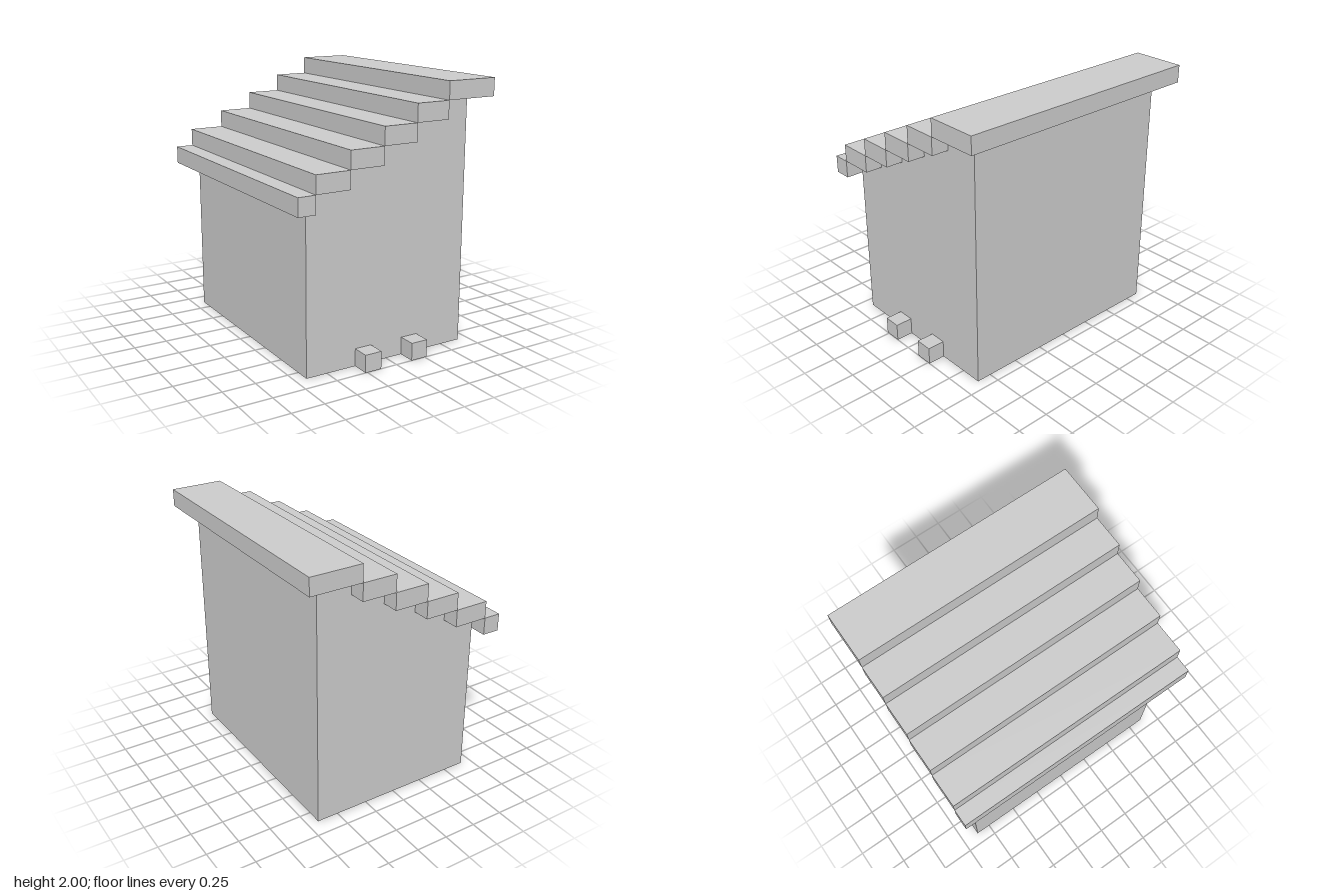
import * as THREE from 'three';

const U = 2 / 15; // one block

export function createModel() {
  const model = new THREE.Group();
  const material = new THREE.MeshStandardMaterial({ color: 0xcccccc, flatShading: true });

  const add = (name, geometry, parent = model) => {
    const mesh = new THREE.Mesh(geometry, material);
    mesh.name = name;
    parent.add(mesh);
    return mesh;
  };

  // Box given by its limits, in blocks
  const block = (name, parent, [x0, x1], [y0, y1], [z0, z1]) => {
    const box = new THREE.BoxGeometry((x1 - x0) * U, (y1 - y0) * U, (z1 - z0) * U);
    add(name, box, parent).position.set((x0 + x1) * U / 2, (y0 + y1) * U / 2, (z0 + z1) * U / 2);
  };

  // Walls: stepped profile that rises under the roof from right to left
  const profile = new THREE.Shape();
  profile.moveTo(-5 * U, 0);
  profile.lineTo(5 * U, 0);
  for (let i = 4; i >= 0; i--) {
    profile.lineTo((2 * i - 3) * U, (10 + i) * U);
    profile.lineTo((2 * i - 5) * U, (10 + i) * U);
  }
  // the first column starts at the outer wall edge
  profile.curves.splice(1, 1,
    new THREE.LineCurve(new THREE.Vector2(5 * U, 0), new THREE.Vector2(5 * U, 14 * U)));
  profile.closePath();
  const walls = new THREE.ExtrudeGeometry(profile, { depth: 13 * U, bevelEnabled: false });
  walls.translate(0, 0, -6.5 * U);
  add('walls', walls);

  // Roof: stepped slabs, with overhanging eave and ridge
  const roof = new THREE.Group();
  roof.name = 'roof';
  model.add(roof);
  const edges = [-6, -5, -3, -1, 1, 3, 6];
  for (let i = 0; i < 6; i++) {
    block('roofSlab', roof, [edges[i], edges[i + 1]], [9 + i, 10 + i], [-7.5, 7.5]);
  }

  // Two small blocks at the foot of the front wall
  for (const x of [-2, 1]) block('frontBlock', model, [x, x + 1], [0, 1], [6.5, 7.5]);

  return model;
}
